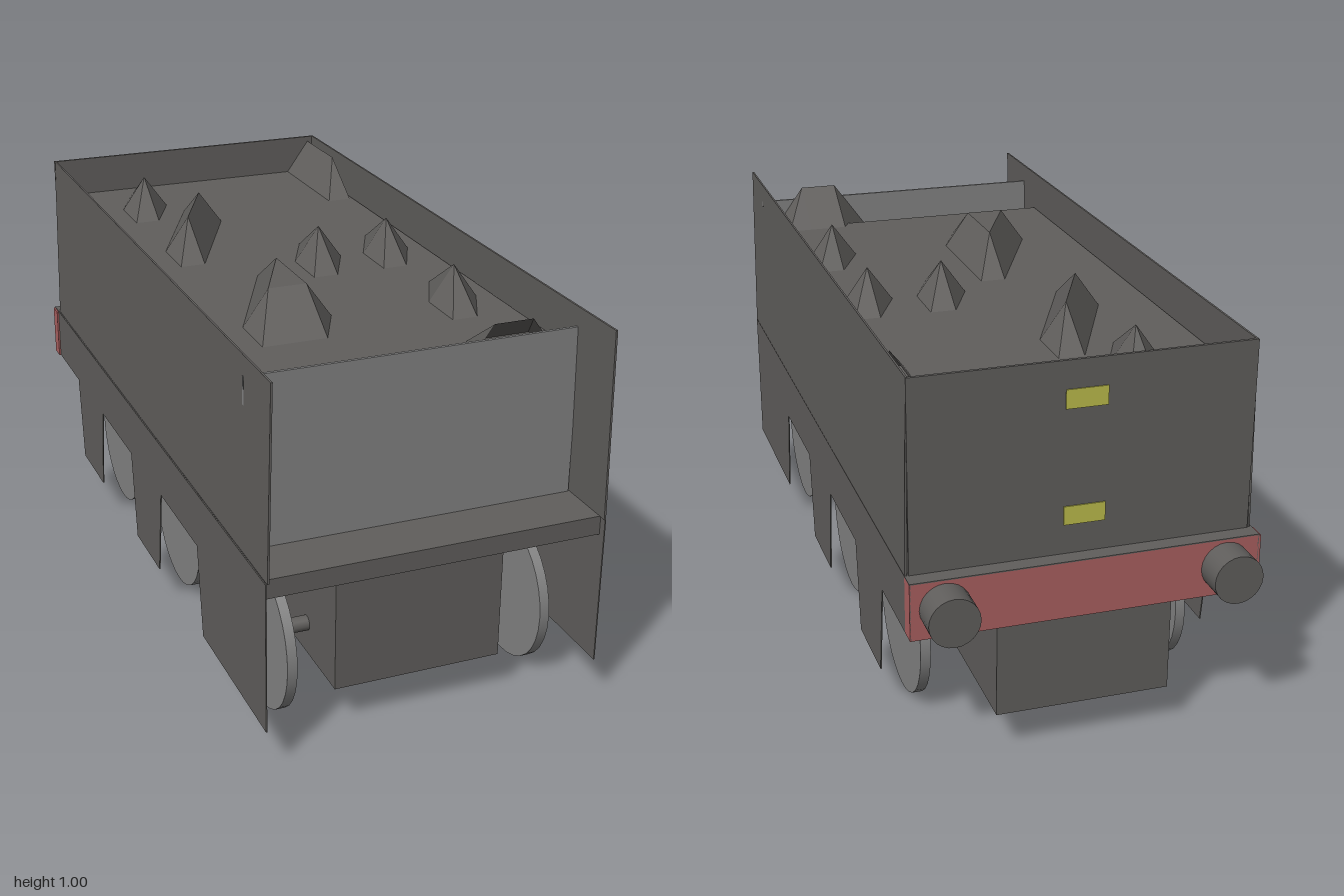
import * as THREE from 'three';

const mat = (name, color, side = THREE.FrontSide) => {
  const m = new THREE.MeshStandardMaterial({ color, side });
  m.name = name;
  return m;
};

export function createModel() {
  const grey = mat('dark grey', 0x605e5c, THREE.DoubleSide);
  const light = mat('light grey', 0x838383);
  const red = mat('beam red', 0xaa6060);
  const yellow = mat('plate yellow', 0xbcbc4c);

  const model = new THREE.Group();
  model.name = 'tender';

  const add = (name, geo, material, x = 0, y = 0, z = 0) => {
    const mesh = new THREE.Mesh(geo, material);
    mesh.name = name;
    mesh.position.set(x, y, z);
    model.add(mesh);
    return mesh;
  };
  // Box given by its lower and upper corners
  const box = (name, material, [x0, y0, z0], [x1, y1, z1]) =>
    add(name, new THREE.BoxGeometry(x1 - x0, y1 - y0, z1 - z0), material,
      (x0 + x1) / 2, (y0 + y1) / 2, (z0 + z1) / 2);

  // Chassis, floor and end walls
  box('innerFrame', grey, [-0.22, 0.11, -0.91], [0.225, 0.46, 0.89]);
  box('floor', grey, [-0.436, 0.455, -0.875], [0.438, 0.505, 0.98]);
  box('backWall', grey, [-0.427, 0.505, -0.878], [0.43, 0.995, -0.87]);
  box('frontPanel', light, [-0.428, 0.505, 0.825], [0.431, 0.945, 0.833]);

  // Rear beam with its grey top plate
  box('rearBeam', red, [-0.445, 0.355, -0.92], [0.44, 0.502, -0.876]);
  box('beamTopPlate', grey, [-0.438, 0.502, -0.92], [0.44, 0.505, -0.876]);

  // Small yellow plates on the back wall
  for (const y of [0.605, 0.9]) {
    box('rearPlate', yellow, [-0.052, y - 0.024, -0.881], [0.052, y + 0.024, -0.878]);
  }

  // Skirt outline as (z, y), with tabs between the raised openings
  const skirt = new THREE.Shape([
    [1, 0.505], [1, 0.11], [0.54, 0.11], [0.505, 0.355], [0.2, 0.355], [0.165, 0.11],
    [-0.045, 0.11], [-0.08, 0.355], [-0.375, 0.355], [-0.41, 0.11], [-0.62, 0.11],
    [-0.655, 0.355], [-0.92, 0.355], [-0.92, 0.505],
  ].map(([z, y]) => new THREE.Vector2(-z, y)));
  const skirtGeo = new THREE.ExtrudeGeometry(skirt, { depth: 0.003, bevelEnabled: false });
  skirtGeo.rotateY(Math.PI / 2);

  const wheelGeo = new THREE.CylinderGeometry(0.194, 0.194, 0.026, 32).rotateZ(Math.PI / 2);
  const axleGeo = new THREE.CylinderGeometry(0.02, 0.02, 0.56, 16).rotateZ(Math.PI / 2);
  const bumperGeo = new THREE.CylinderGeometry(0.063, 0.063, 0.08, 24).rotateX(Math.PI / 2);
  const wheelZ = [0.705, 0.045, -0.525];

  for (const s of [-1, 1]) {
    add('sideSkirt', skirtGeo, grey, s * 0.4385 - 0.0015);
    // Upper side walls lean slightly inwards
    const wall = add('sideWall', new THREE.BoxGeometry(0.005, 0.492, 1.875), grey, s * 0.43 + 0.002, 0.75, 0.0625);
    wall.rotation.z = s * 0.02;
    add('bumper', bumperGeo, grey, s * 0.354, 0.432, -0.96);
    for (const z of wheelZ) add('wheel', wheelGeo, light, s * 0.341 + 0.007, 0.195, z);
  }
  for (const z of wheelZ) add('axle', axleGeo, grey, 0.005, 0.195, z);

  // Coal bed: level, then sloping down behind the front panel
  const bed = new THREE.PlaneGeometry(0.84, 1.7, 1, 2).rotateX(-Math.PI / 2);
  const bp = bed.attributes.position;
  const bedRows = [[0.885, -0.872], [0.885, 0.72], [0.838, 0.825]];
  for (let i = 0; i < bp.count; i++) {
    const [y, z] = bedRows[Math.floor(i / 2)];
    bp.setY(i, y);
    bp.setZ(i, z);
  }
  const flatBed = bed.toNonIndexed();
  flatBed.computeVertexNormals();
  add('coalBed', flatBed, grey);

  // Coal lumps: raised points (column,row) of a coarse grid poking through the bed
  const peaks = ['0,0', '8,0', '8,1', '2,1', '3,2', '2,3', '5,4', '7,4', '3,5', '3,6', '2,6', '7,6', '6,8', '7,8'];
  const lumps = new THREE.PlaneGeometry(0.82, 1.697, 8, 8).rotateX(-Math.PI / 2);
  const lp = lumps.attributes.position;
  for (let i = 0; i < lp.count; i++) {
    const raised = peaks.includes(`${i % 9},${Math.floor(i / 9)}`);
    lp.setY(i, raised ? 0.98 : 0.8375);
  }
  const flatLumps = lumps.toNonIndexed();
  flatLumps.computeVertexNormals();
  add('coalLumps', flatLumps, grey, 0, 0, -0.0235);

  return model;
}
